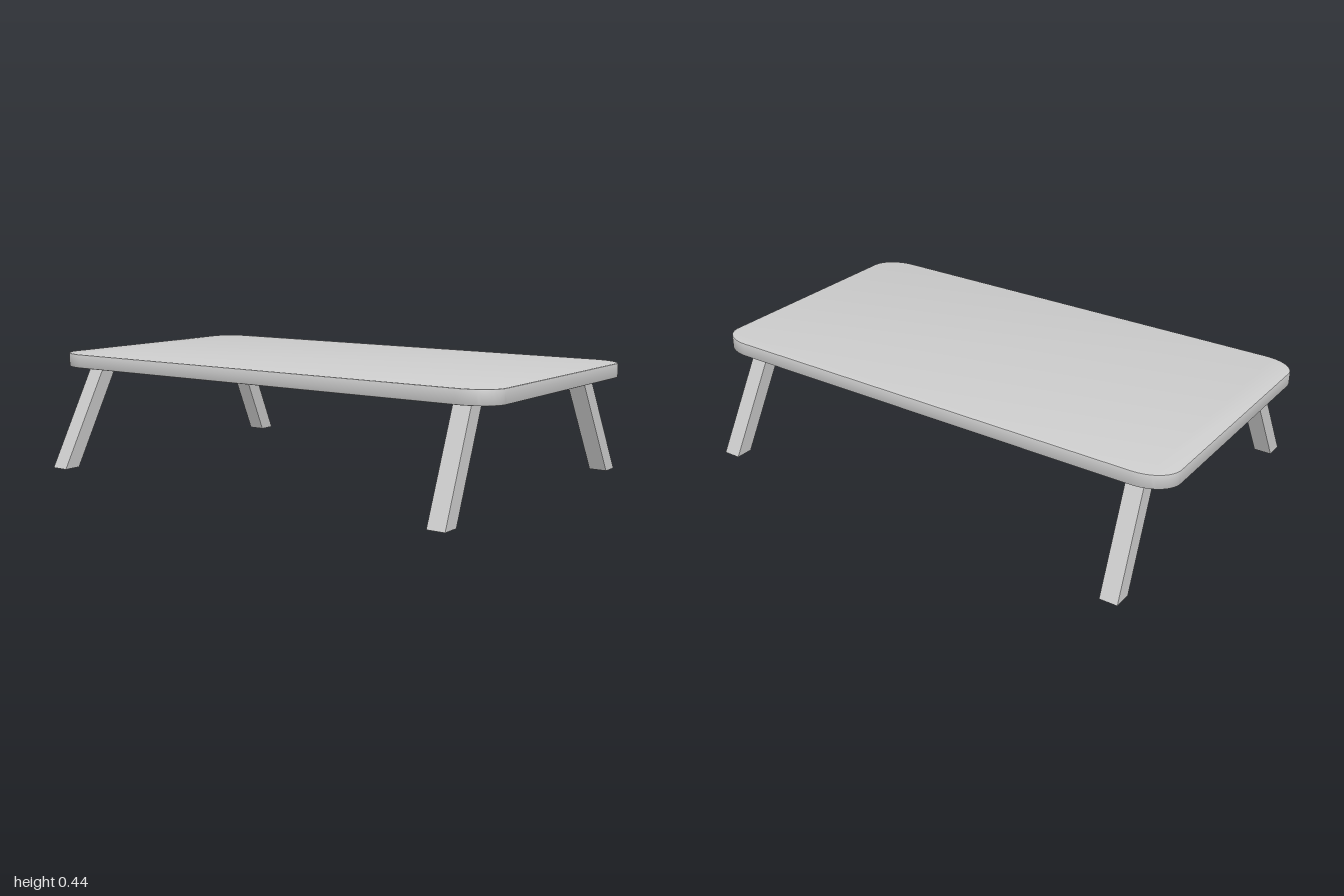
import * as THREE from 'three';
import { toCreasedNormals } from 'three/addons/utils/BufferGeometryUtils.js';

const TOP = 0.445, UNDERSIDE = 0.39, BEVEL = 0.005;

// Slab outline with elliptical corners
function slabShape(hx, hz, rx, rz) {
  const shape = new THREE.Shape();
  const corners = [[1, 1], [-1, 1], [-1, -1], [1, -1]];
  corners.forEach(([sx, sz], i) => {
    const start = i * Math.PI / 2;
    shape.absellipse(sx * (hx - rx), sz * (hz - rz), rx, rz, start, start + Math.PI / 2, false, 0);
  });
  shape.closePath();
  return shape;
}

// Square leg sheared outwards, with level ends
function legGeometry(sx, sz) {
  const height = UNDERSIDE + 0.01;
  const geometry = new THREE.BoxGeometry(0.07, height, 0.07);
  geometry.translate(0, height / 2, 0);
  const p = geometry.attributes.position;
  for (let i = 0; i < p.count; i++) {
    const t = p.getY(i) / UNDERSIDE;
    p.setX(i, p.getX(i) + sx * (0.616 - 0.196 * t));
    p.setZ(i, p.getZ(i) + sz * (0.872 - 0.022 * t));
  }
  geometry.computeVertexNormals();
  return geometry;
}

export function createModel() {
  const group = new THREE.Group();
  const material = new THREE.MeshStandardMaterial({ color: 0xcccccc });

  // Tabletop
  const slab = new THREE.ExtrudeGeometry(slabShape(0.53 - BEVEL, 1 - BEVEL, 0.095, 0.13), {
    depth: TOP - UNDERSIDE - 2 * BEVEL,
    bevelEnabled: true,
    bevelSize: BEVEL,
    bevelThickness: BEVEL,
    bevelSegments: 2,
    curveSegments: 10,
  });
  slab.rotateX(-Math.PI / 2);
  slab.translate(0, UNDERSIDE + BEVEL, 0);
  const tabletop = new THREE.Mesh(toCreasedNormals(slab, 0.6), material);
  tabletop.name = 'tabletop';
  group.add(tabletop);

  // Four splayed legs
  for (const sx of [1, -1]) {
    for (const sz of [1, -1]) {
      const leg = new THREE.Mesh(legGeometry(sx, sz), material);
      leg.name = (sz > 0 ? 'front' : 'back') + (sx > 0 ? 'Left' : 'Right') + 'Leg';
      group.add(leg);
    }
  }
  return group;
}
